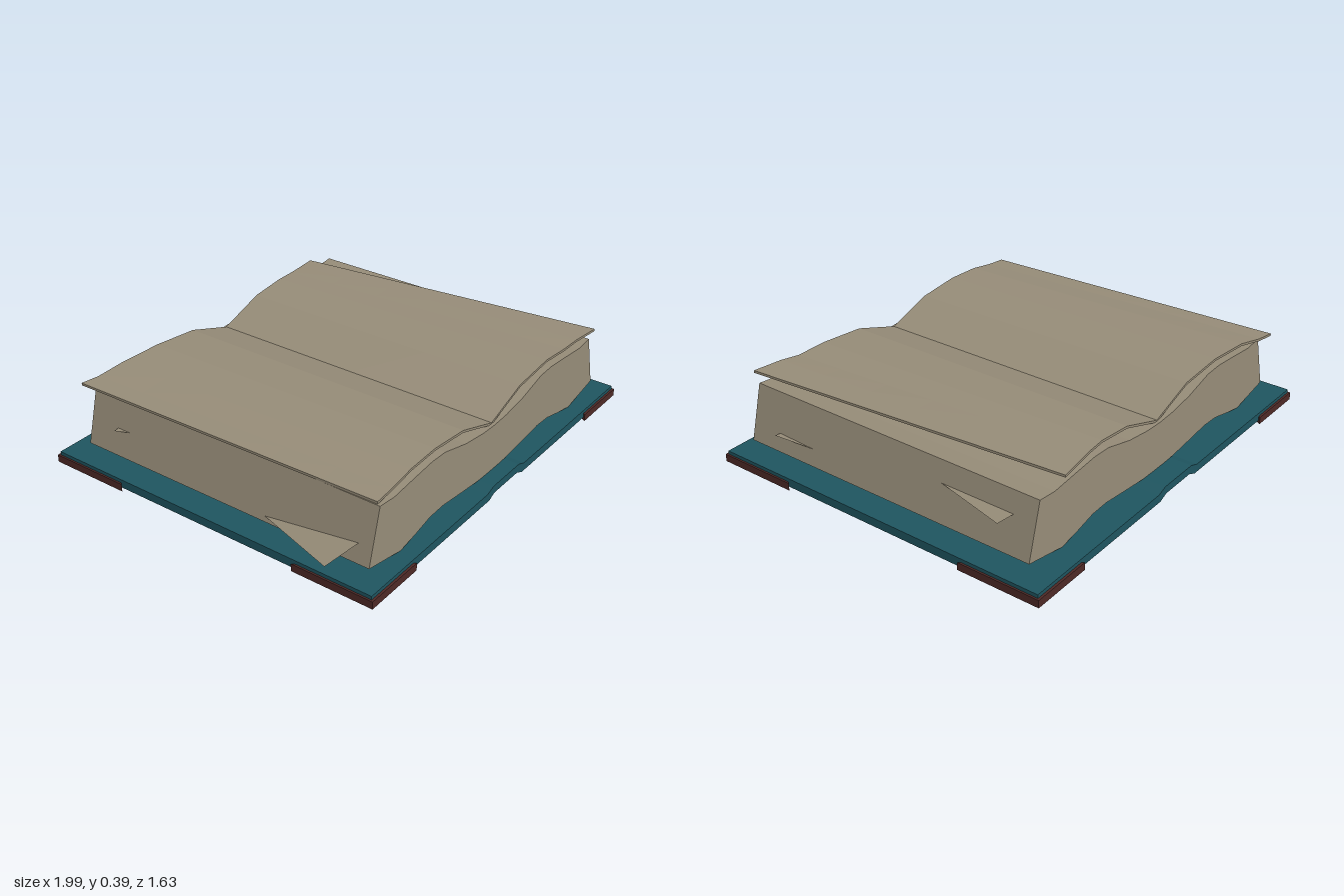
import * as THREE from 'three';

const mat = (color) => new THREE.MeshStandardMaterial({ color, flatShading: true, side: THREE.DoubleSide });
const SPINE = 0.04; // x of the fold

// Extrude an x-y outline along z from z0 to z1
function prism(name, points, z0, z1, material) {
  const shape = new THREE.Shape(points.map(([x, y]) => new THREE.Vector2(x, y)));
  const geo = new THREE.ExtrudeGeometry(shape, { depth: z1 - z0, bevelEnabled: false });
  geo.translate(0, 0, z0);
  const mesh = new THREE.Mesh(geo, material);
  mesh.name = name;
  return mesh;
}

// Mirror a half profile (offsets from the fold) to a full left-to-right line
const mirrored = (half) => [
  ...half.slice(1).reverse().map(([x, y]) => [SPINE - x, y]),
  ...half.map(([x, y]) => [SPINE + x, y]),
];

// Thin curled sheet lofted between its back and front edges
function sheet(name, back, front, thickness, material) {
  const n = back.length, steps = 6, pos = [], idx = [];
  for (const drop of [0, thickness]) {
    for (let j = 0; j <= steps; j++) {
      for (let i = 0; i < n; i++) {
        const p = new THREE.Vector3(...back[i]).lerp(new THREE.Vector3(...front[i]), j / steps);
        pos.push(p.x, p.y - drop, p.z);
      }
    }
  }
  const layer = n * (steps + 1);
  const quad = (a, b, c, d) => idx.push(a, b, c, a, c, d);
  const flip = back[n - 1][0] < back[0][0];
  const face = (a, b, c, d) => (flip ? quad(d, c, b, a) : quad(a, b, c, d));
  for (let j = 0; j < steps; j++) {
    for (let i = 0; i < n - 1; i++) {
      const a = j * n + i;
      face(a, a + n, a + n + 1, a + 1);
      face(a + layer, a + layer + 1, a + layer + n + 1, a + layer + n);
    }
    // fold side and outer side
    const s = j * n, e = s + n - 1;
    face(s, s + layer, s + layer + n, s + n);
    face(e, e + n, e + layer + n, e + layer);
  }
  // back and front rims
  for (let i = 0; i < n - 1; i++) {
    const f = steps * n + i;
    face(i, i + 1, i + 1 + layer, i + layer);
    face(f, f + layer, f + layer + 1, f + 1);
  }
  const geo = new THREE.BufferGeometry();
  geo.setAttribute('position', new THREE.Float32BufferAttribute(pos, 3));
  geo.setIndex(idx);
  geo.computeVertexNormals();
  const mesh = new THREE.Mesh(geo, material);
  mesh.name = name;
  return mesh;
}

// Loose triangular scrap of paper
function scrap(name, corners, material) {
  const geo = new THREE.BufferGeometry();
  geo.setAttribute('position', new THREE.Float32BufferAttribute(corners.flat(), 3));
  geo.computeVertexNormals();
  const mesh = new THREE.Mesh(geo, material);
  mesh.name = name;
  return mesh;
}

export function createModel() {
  const book = new THREE.Group();
  book.name = 'openBook';
  const teal = mat(0x1f5560), paper = mat(0x968c78), red = mat(0x4e2926);

  // Cover with a raised spine
  const coverTop = mirrored([[0, 0.066], [0.1, 0.066], [0.145, 0.05], [0.945, 0.05]]);
  const coverBottom = mirrored([[0, 0.03], [0.09, 0.03], [0.13, 0.012], [0.945, 0.012]]);
  book.add(prism('cover', [...coverBottom, ...coverTop.reverse()], -0.805, 0.805, teal));

  // Triangular corner guards
  for (const sx of [-1, 1]) {
    for (const sz of [-1, 1]) {
      const x = SPINE + sx * 0.953, z = sz * 0.815;
      const tri = new THREE.Shape([
        new THREE.Vector2(x, -z),
        new THREE.Vector2(x - sx * 0.285, -z),
        new THREE.Vector2(x, -z + sz * 0.375),
      ]);
      const geo = new THREE.ExtrudeGeometry(tri, { depth: 0.034, bevelEnabled: false });
      geo.rotateX(-Math.PI / 2);
      const guard = new THREE.Mesh(geo, red);
      guard.name = `cornerGuard${sz > 0 ? 'Front' : 'Back'}${sx > 0 ? 'Left' : 'Right'}`;
      book.add(guard);
    }
  }

  // Wavy page block
  const blockTop = mirrored([[0, 0.28], [0.09, 0.284], [0.22, 0.302], [0.37, 0.341], [0.46, 0.345],
    [0.58, 0.335], [0.71, 0.323], [0.8, 0.332]]);
  const blockBottom = mirrored([[0, 0.065], [0.12, 0.068], [0.24, 0.08], [0.37, 0.094], [0.46, 0.091],
    [0.56, 0.068], [0.66, 0.05], [0.864, 0.09]]);
  book.add(prism('pageBlock', [...blockBottom, ...blockTop.reverse()], -0.705, 0.735, paper));

  // Lifted top pages, listed from the fold outwards
  book.add(sheet('rightPage',
    [[0.04, 0.285, -0.69], [-0.18, 0.36, -0.69], [-0.4, 0.38, -0.695], [-0.6, 0.375, -0.71], [-0.72, 0.356, -0.73], [-0.8, 0.355, -0.745]],
    [[0.04, 0.285, 0.72], [-0.18, 0.358, 0.72], [-0.38, 0.378, 0.72], [-0.54, 0.372, 0.72], [-0.66, 0.352, 0.72], [-0.755, 0.343, 0.72]],
    0.011, paper));
  book.add(sheet('leftPage',
    [[0.04, 0.285, -0.69], [0.26, 0.36, -0.69], [0.43, 0.378, -0.69], [0.53, 0.375, -0.695], [0.62, 0.372, -0.705], [0.7, 0.37, -0.715]],
    [[0.04, 0.285, 0.72], [0.26, 0.36, 0.72], [0.48, 0.38, 0.72], [0.62, 0.374, 0.727], [0.71, 0.384, 0.738], [0.845, 0.386, 0.755]],
    0.011, paper));

  // Torn scraps sticking out of the sides
  book.add(scrap('scrapRightFront', [[-1, 0.178, 0.665], [-0.76, 0.166, 0.675], [-0.81, 0.11, 0.22]], paper));
  book.add(scrap('scrapRightBack', [[-0.825, 0.206, -0.55], [-0.76, 0.2, -0.43], [-0.76, 0.2, -0.565]], paper));
  book.add(scrap('scrapLeftBack', [[0.96, 0.256, -0.605], [0.84, 0.241, -0.605], [0.86, 0.244, -0.25]], paper));
  book.add(scrap('scrapLeftFront', [[0.915, 0.17, 0.585], [0.86, 0.162, 0.585], [0.88, 0.158, 0.36]], paper));

  return book;
}
